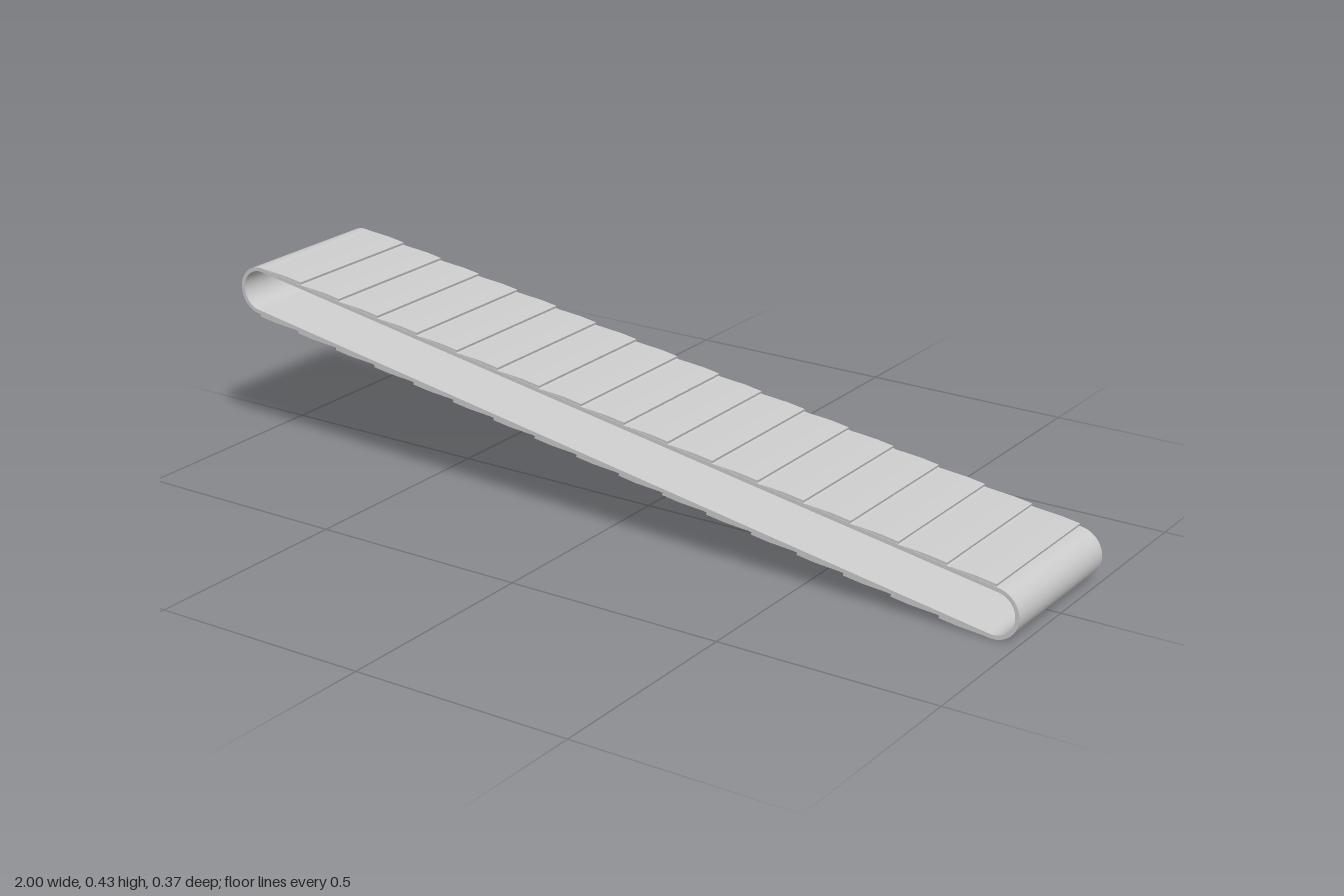
import * as THREE from 'three';

const HALF = 0.956, RADIUS = 0.056, THICK = 0.009, WIDTH = 0.37;
const PITCH = 0.112, SLATS = 17;

// Rounded loop outline: two straights joined by half circles
function loop(path, r) {
  path.moveTo(-HALF, -r);
  path.lineTo(HALF, -r);
  path.absarc(HALF, 0, r, -Math.PI / 2, Math.PI / 2, false);
  path.lineTo(-HALF, r);
  path.absarc(-HALF, 0, r, Math.PI / 2, Math.PI * 1.5, false);
  return path;
}

function extrude(shape, depth) {
  const geo = new THREE.ExtrudeGeometry(shape, { depth, bevelEnabled: false, curveSegments: 24 });
  return geo.translate(0, 0, -depth / 2);
}

// Smooth normals across the curved ends of the belt walls
function smoothWalls(geo) {
  const p = geo.attributes.position, n = geo.attributes.normal;
  for (let i = 0; i < p.count; i++) {
    if (Math.abs(n.getZ(i)) > 0.5) continue;
    const cx = THREE.MathUtils.clamp(p.getX(i), -HALF, HALF);
    const v = new THREE.Vector3(p.getX(i) - cx, p.getY(i), 0);
    const sign = v.length() < RADIUS - THICK / 2 ? -1 : 1;
    v.normalize().multiplyScalar(sign);
    n.setXYZ(i, v.x, v.y, 0);
  }
  return geo;
}

export function createModel() {
  const model = new THREE.Group();
  model.name = 'conveyorBelt';
  const material = new THREE.MeshStandardMaterial({ color: 0xcccccc });

  const incline = new THREE.Group();
  incline.name = 'inclinedBelt';
  incline.position.set(0, 0.218, 0);
  incline.rotation.z = -Math.atan2(0.158, 0.943);
  model.add(incline);

  // Hollow belt
  const outline = loop(new THREE.Shape(), RADIUS);
  outline.holes.push(loop(new THREE.Path(), RADIUS - THICK));
  const belt = new THREE.Mesh(smoothWalls(extrude(outline, WIDTH)), material);
  belt.name = 'belt';
  incline.add(belt);

  // Overlapping slats: each rises from the belt to a small step
  const wedge = new THREE.Shape();
  wedge.moveTo(-0.052, -0.003);
  wedge.lineTo(0.052, -0.003);
  wedge.lineTo(0.053, 0.006);
  wedge.lineTo(0.01, 0.0055);
  wedge.lineTo(-0.052, 0.0005);
  wedge.closePath();
  const slatGeo = extrude(wedge, WIDTH - 0.002);

  for (const side of ['upper', 'lower']) {
    const run = new THREE.Group();
    run.name = side + 'Slats';
    run.rotation.z = side === 'upper' ? 0 : Math.PI;
    for (let i = 0; i < SLATS; i++) {
      const slat = new THREE.Mesh(slatGeo, material);
      slat.name = 'slat';
      slat.position.set((i - (SLATS - 1) / 2) * PITCH, RADIUS, 0);
      run.add(slat);
    }
    incline.add(run);
  }
  return model;
}
